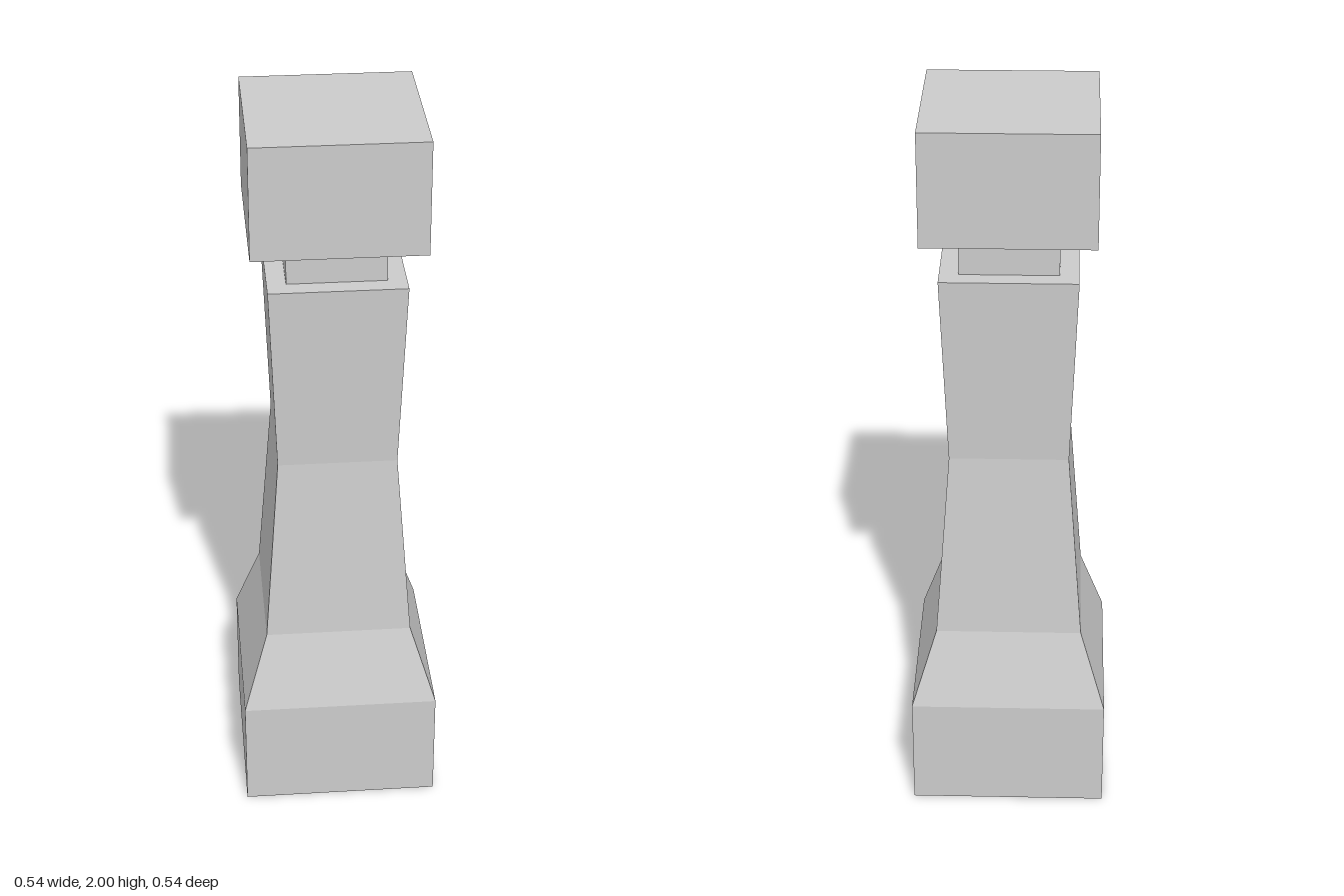
import * as THREE from 'three';

const material = new THREE.MeshStandardMaterial({ color: 0xcccccc, flatShading: true });

// Solid with a square cross-section; profile is [half width, y] from bottom to top.
function squareSolid(name, profile) {
  const closed = [[0, profile[0][1]], ...profile, [0, profile[profile.length - 1][1]]];
  const points = closed.map(([half, y]) => new THREE.Vector2(half * Math.SQRT2, y));
  const geometry = new THREE.LatheGeometry(points, 4, Math.PI / 4).toNonIndexed();
  geometry.computeVertexNormals();
  const mesh = new THREE.Mesh(geometry, material);
  mesh.name = name;
  return mesh;
}

export function createModel() {
  const post = new THREE.Group();
  post.name = 'post';
  post.add(
    // Low slab at the foot
    squareSolid('plinth', [[0.268, 0], [0.268, 0.055]]),
    // Wide base, sloped shoulder and waisted column
    squareSolid('shaft', [[0.268, 0.055], [0.268, 0.315], [0.2, 0.525], [0.16, 1.055], [0.18, 1.58]]),
    // Recessed neck
    squareSolid('neck', [[0.13, 1.58], [0.13, 1.695]]),
    // Block on top
    squareSolid('cap', [[0.225, 1.695], [0.225, 2]]),
  );
  return post;
}
